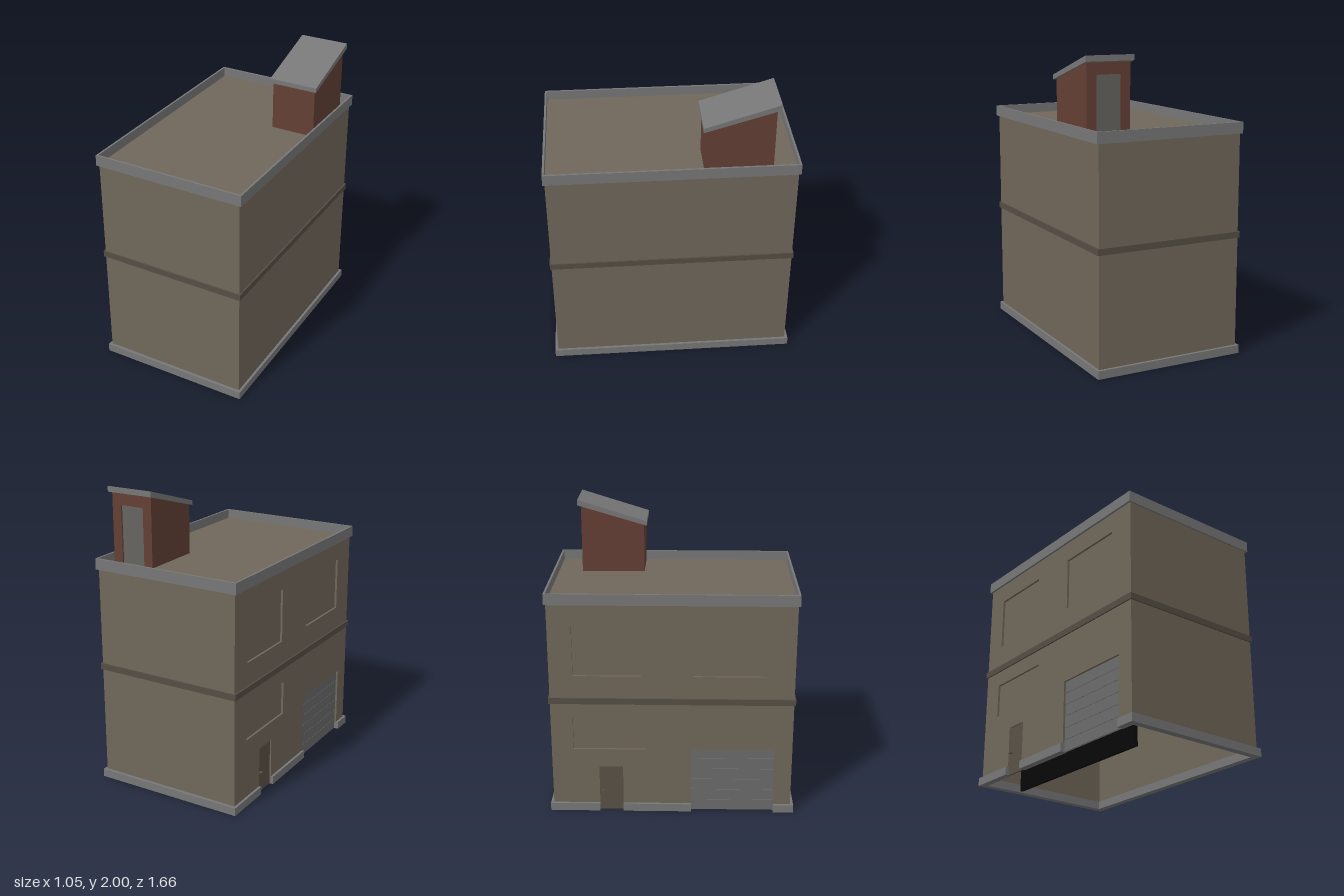
import * as THREE from 'three';

const mat = (color) => new THREE.MeshStandardMaterial({ color, flatShading: true, side: THREE.DoubleSide });

export function createModel() {
  const model = new THREE.Group();
  model.name = 'building';
  const wall = mat(0x70675a), trim = mat(0x777777), band = mat(0x554e44), brick = mat(0x633f35);
  const doorBrown = mat(0x5a5146), doorGrey = mat(0x66645f), shutter = mat(0x6b6b6b), black = mat(0x080808);

  // Box given by its limits on each axis
  function box(name, material, [x0, x1], [y0, y1], [z0, z1], parent = model) {
    const mesh = new THREE.Mesh(new THREE.BoxGeometry(x1 - x0, y1 - y0, z1 - z0), material);
    mesh.position.set((x0 + x1) / 2, (y0 + y1) / 2, (z0 + z1) / 2);
    mesh.name = name;
    parent.add(mesh);
    return mesh;
  }

  // Closed path from corner pairs
  const path = (Type, pts) => new Type(pts.map(([a, b]) => new THREE.Vector2(a, b)));
  const rect = (a0, a1, b0, b1) => [[a0, b0], [a1, b0], [a1, b1], [a0, b1]];

  // Extrusion of a z-y outline, from x1 towards -x down to x0
  function sideExtrude(name, material, shape, x0, x1, parent = model) {
    const geometry = new THREE.ExtrudeGeometry(shape, { depth: x1 - x0, bevelEnabled: false });
    geometry.rotateY(-Math.PI / 2);
    geometry.translate(x1, 0, 0);
    const mesh = new THREE.Mesh(geometry, material);
    mesh.name = name;
    parent.add(mesh);
    return mesh;
  }

  // Hollow rectangular course around the building
  function ring(name, material, hx, hz, ix, iz, y0, y1) {
    const shape = path(THREE.Shape, rect(-hx, hx, -hz, hz));
    shape.holes.push(path(THREE.Path, rect(-ix, ix, -iz, iz)));
    const geometry = new THREE.ExtrudeGeometry(shape, { depth: y1 - y0, bevelEnabled: false });
    geometry.rotateX(-Math.PI / 2);
    geometry.translate(0, y0, 0);
    const mesh = new THREE.Mesh(geometry, material);
    mesh.name = name;
    model.add(mesh);
  }

  const W = 0.51, D = 0.807, T = 0.025, TOP = 1.49;
  const door = [-0.49, -0.33], garage = [0.13, 0.69];
  const doorTop = 0.33, garageTop = 0.47;

  // Plain walls
  box('leftWall', wall, [W - T, W], [0.01, TOP], [-D, D]);
  for (const s of [-1, 1]) {
    const z = [s * D, s * (D - T)].sort((a, b) => a - b);
    box(s > 0 ? 'frontWall' : 'backWall', wall, [-W + T, W - T], [0.01, TOP], z);
  }

  // Street wall with door notches and window holes
  const facade = path(THREE.Shape, [
    [-D, 0.01], [door[0], 0.01], [door[0], doorTop], [door[1], doorTop], [door[1], 0.01],
    [garage[0], 0.01], [garage[0], garageTop], [garage[1], garageTop], [garage[1], 0.01],
    [D, 0.01], [D, TOP], [-D, TOP],
  ]);
  const windows = [[-0.65, -0.2, 0.99, 1.35], [0.14, 0.62, 0.99, 1.35], [-0.66, -0.17, 0.46, 0.69]];
  for (const w of windows) {
    facade.holes.push(path(THREE.Path, rect(...w)));
    box('windowPanel', wall, [-W + T - 0.01, -W + T], [w[2], w[3]], [w[0], w[1]]);
  }
  sideExtrude('streetWall', wall, facade, -W, -W + T);

  // Entrance door with handle
  box('entranceDoor', doorBrown, [-0.5, -0.488], [0, doorTop], door);
  box('doorHandle', doorBrown, [-0.52, -0.5], [0.143, 0.149], [-0.475, -0.455]);

  // Garage door made of slats
  const slats = 6;
  for (let i = 0; i < slats; i++) {
    const h = garageTop / slats;
    box('garageSlat', shutter, [-0.496, -0.486], [i * h + 0.002, (i + 1) * h], garage);
  }
  box('garageBacking', shutter, [-0.49, -0.485], [0, garageTop], garage);

  // Base course, broken at the two doors
  const BX = 0.527, BZ = 0.828, BH = 0.055, inner = 0.48;
  box('baseLeft', trim, [inner, BX], [0, BH], [-BZ, BZ]);
  box('baseFront', trim, [-inner, inner], [0, BH], [0.78, BZ]);
  box('baseBack', trim, [-inner, inner], [0, BH], [-BZ, -0.78]);
  for (const z of [[-BZ, door[0]], [door[1], garage[0]], [garage[1], BZ]])
    box('baseStreet', trim, [-BX, -inner], [0, BH], z);

  // Floor band, roof deck and parapet
  ring('floorBand', band, 0.52, 0.817, 0.48, 0.777, 0.793, 0.835);
  box('roofDeck', wall, [-W, W], [TOP - 0.015, TOP + 0.002], [-D, D]);
  ring('parapet', trim, 0.526, 0.819, 0.512, 0.805, 1.482, 1.556);

  // Inner partition
  box('partition', black, [-0.215, -0.195], [0.01, TOP - 0.015], [-D + T, 0.48]);

  // Stair house on the roof, with a recessed door at its back
  const hut = new THREE.Group();
  hut.name = 'stairHouse';
  model.add(hut);
  const z0 = -0.64, z1 = -0.207, hx0 = 0.205, hx1 = 0.508, dx0 = 0.27, dx1 = 0.44, dTop = 1.88, r = 0.015;
  const yAt = (z) => 1.826 + (z1 - z) * 0.3;
  const hutOutline = path(THREE.Shape, [[z0 + r, TOP], [z1, TOP], [z1, yAt(z1)], [z0 + r, yAt(z0 + r)]]);
  sideExtrude('stairHouseBody', brick, hutOutline, hx0, hx1, hut);
  box('doorJamb', brick, [hx0, dx0], [TOP, yAt(z0)], [z0, z0 + r], hut);
  box('doorJamb', brick, [dx1, hx1], [TOP, yAt(z0)], [z0, z0 + r], hut);
  box('doorHead', brick, [dx0, dx1], [dTop, yAt(z0)], [z0, z0 + r], hut);
  box('roofDoor', doorGrey, [dx0, dx1], [TOP, dTop], [z0 + r - 0.005, z0 + r + 0.002], hut);

  // Sloping slab over the stair house
  const slab = path(THREE.Shape, [[-0.663, 1.962], [-0.188, 1.822], [-0.188, 1.853], [-0.663, 2]]);
  sideExtrude('stairHouseRoof', trim, slab, 0.19, 0.525, hut);

  return model;
}
